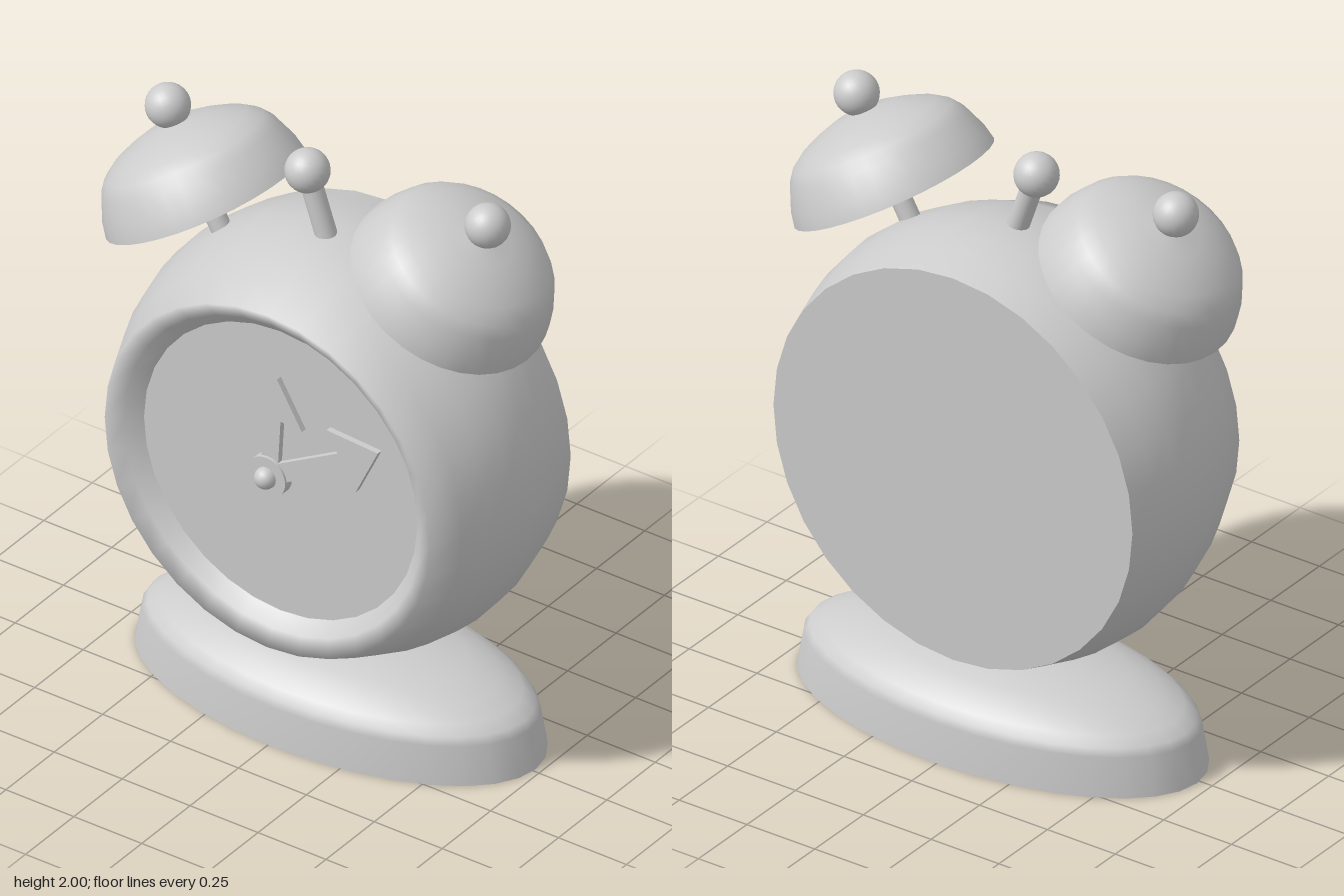
import * as THREE from 'three';

const SEG = 32;
const material = new THREE.MeshStandardMaterial({ color: 0xcccccc });
const openMaterial = new THREE.MeshStandardMaterial({ color: 0xcccccc, side: THREE.DoubleSide });

function add(parent, name, geometry, x = 0, y = 0, z = 0, mat = material) {
  const mesh = new THREE.Mesh(geometry, mat);
  mesh.name = name;
  mesh.position.set(x, y, z);
  parent.add(mesh);
  return mesh;
}

// Smooth solid of revolution from [radius, height] pairs, bottom to top
function lathe(pairs) {
  const points = pairs.map(([r, h]) => new THREE.Vector2(r, h));
  return new THREE.LatheGeometry(points, SEG);
}

// Round rod between two points in the plane z
function rod(parent, name, radius, [x1, y1], [x2, y2], z) {
  const length = Math.hypot(x2 - x1, y2 - y1);
  const mesh = add(parent, name, new THREE.CylinderGeometry(radius, radius, length, 16),
    (x1 + x2) / 2, (y1 + y2) / 2, z);
  mesh.rotation.z = -Math.atan2(x2 - x1, y2 - y1);
}

// Flat arrow-shaped hand pointing along +y
function handGeometry(length, headLength, headWidth) {
  const neck = length - headLength;
  const shape = new THREE.Shape([
    [-0.033, 0], [0.033, 0], [0.026, neck], [headWidth / 2, neck],
    [0, length], [-headWidth / 2, neck], [-0.026, neck],
  ].map(([x, y]) => new THREE.Vector2(x, y)));
  return new THREE.ExtrudeGeometry(shape, { depth: 0.02, bevelEnabled: false });
}

export function createModel() {
  const clock = new THREE.Group();
  clock.name = 'alarmClock';
  const cx = 0.013, cy = 0.968, topZ = 0.038;

  // Oval domed base with a flat underside
  const base = new THREE.Group();
  base.name = 'base';
  base.position.set(cx, 0, -0.013);
  clock.add(base);
  add(base, 'baseDome', lathe([
    [1, 0], [0.965, 0.13], [0.94, 0.155], [0.88, 0.182], [0.77, 0.212],
    [0.62, 0.24], [0.4, 0.263], [0.2, 0.275], [0, 0.28],
  ]).scale(0.717, 1, 0.36));
  add(base, 'baseUnderside',
    new THREE.CircleGeometry(1, SEG).rotateX(Math.PI / 2).scale(0.717, 1, 0.36));

  // Round case with a dished front rim
  const body = new THREE.Group();
  body.name = 'body';
  body.position.set(cx, cy, 0);
  clock.add(body);
  add(body, 'case', lathe([
    [0.662, -0.27], [0.69, -0.18], [0.71, -0.09], [0.716, 0], [0.706, 0.09],
    [0.682, 0.18], [0.645, 0.27], [0.598, 0.37], [0.545, 0.342], [0.503, 0.3],
  ]).rotateX(Math.PI / 2));
  add(body, 'backPlate', new THREE.CircleGeometry(0.662, SEG).rotateY(Math.PI), 0, 0, -0.27);
  add(body, 'dial', new THREE.CircleGeometry(0.503, SEG), 0, 0, 0.3);

  // Hands on a round hub with a small pin
  const hands = new THREE.Group();
  hands.name = 'hands';
  hands.position.set(-0.015, 0.953, 0.3);
  clock.add(hands);
  add(hands, 'hourHand', handGeometry(0.36, 0.145, 0.21), 0, 0, 0.005).rotation.z = -0.09;
  add(hands, 'minuteHand', handGeometry(0.47, 0.157, 0.212), 0, 0, 0.008).rotation.z = -1.04;
  add(hands, 'hub', new THREE.CylinderGeometry(0.07, 0.07, 0.035, 24).rotateX(Math.PI / 2), 0, 0, 0.018);
  add(hands, 'pin', new THREE.SphereGeometry(0.036, 16, 12), 0, 0, 0.038);

  // Pair of tilted open bells, each on a stem and topped by a knob
  const bellProfile = [
    [0.328, 0], [0.318, 0.05], [0.288, 0.125], [0.262, 0.16], [0.22, 0.19],
    [0.165, 0.214], [0.1, 0.236], [0, 0.25],
  ];
  for (const [side, name, y] of [[1, 'left', 1.667], [-1, 'right', 1.645]]) {
    const bell = new THREE.Group();
    bell.name = name + 'Bell';
    bell.position.set(side * 0.45, y, topZ);
    bell.rotation.z = -side * 0.52;
    clock.add(bell);
    add(bell, 'bellShell', lathe(bellProfile), 0, 0, 0, openMaterial);
    add(bell, 'bellKnob', new THREE.SphereGeometry(0.07, 24, 16), -side * 0.012, 0.3, 0);
    rod(bell, 'bellStem', 0.033, [0, -0.18], [0, 0.24], 0);
  }

  // Hammer leaning between the bells
  const hammer = new THREE.Group();
  hammer.name = 'hammer';
  clock.add(hammer);
  rod(hammer, 'hammerStem', 0.034, [0.012, 1.62], [-0.075, 1.875], topZ);
  add(hammer, 'hammerBall', new THREE.SphereGeometry(0.07, 24, 16), -0.075, 1.875, topZ);

  return clock;
}
